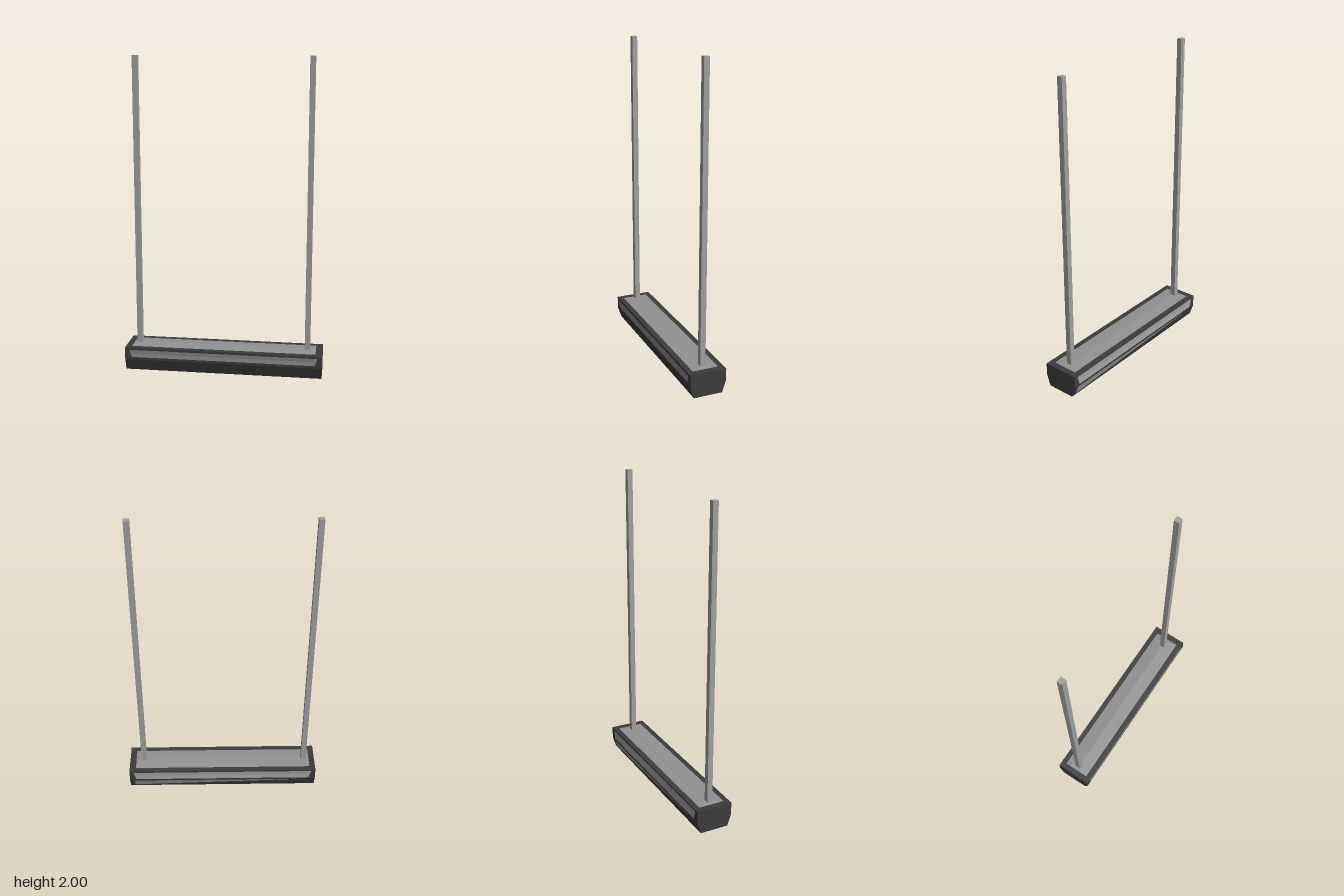
import * as THREE from 'three';

const HALF = 0.627; // half length of the lamp body

// Housing cross-section [z, y], running up the front, over the top and down the back
const profile = [
  [0.092, 0.01], [0.117, 0.085], [0.117, 0.164],
  [-0.117, 0.164], [-0.117, 0.085], [-0.092, 0.01],
];

// Panels per long side: corners as [u along x, v along profile], crown height and colour
const panels = {
  1: { name: 'frontPanel', color: 0x8a8a8a, crown: -0.002,
    uv: [[0.035, 0.2], [0.965, 0.2], [0.978, 0.8], [0.022, 0.8]] },
  2: { name: 'topPanel', color: 0x929292, crown: 0.006,
    uv: [[0.03, 0.145], [0.967, 0.145], [0.967, 0.855], [0.03, 0.855]] },
  3: { name: 'backPanel', color: 0xa4a4a4, crown: -0.002,
    uv: [[0.022, 0.15], [0.978, 0.15], [0.965, 0.9], [0.035, 0.9]] },
  4: { name: 'backWedgePanel', color: 0x9a9a9a, crown: -0.001,
    uv: [[0.1, 0.1], [0.975, 0.1], [0.975, 0.85], [0.1, 0.16]] },
  5: { name: 'bottomPanel', color: 0xf4f4f4, crown: 0.01,
    uv: [[0.03, 0.13], [0.97, 0.13], [0.97, 0.87], [0.03, 0.87]] },
};

const paint = (color) => new THREE.MeshStandardMaterial({ color, flatShading: true });

function meshFrom(points, name, color) {
  const geo = new THREE.BufferGeometry().setFromPoints(points);
  geo.computeVertexNormals();
  const mesh = new THREE.Mesh(geo, paint(color));
  mesh.name = name;
  return mesh;
}

const quad = (a, b, c, d) => [a, b, c, a, c, d];

export function createModel() {
  const model = new THREE.Group();
  model.name = 'hangingLamp';
  const shell = [];
  const n = profile.length;

  // Long sides: a dark frame around a shallow hipped panel
  for (let i = 0; i < n; i++) {
    const [z0, y0] = profile[i];
    const [z1, y1] = profile[(i + 1) % n];
    const at = ([u, v]) => new THREE.Vector3(
      (2 * u - 1) * HALF, y0 + (y1 - y0) * v, z0 + (z1 - z0) * v);
    const outer = [[0, 0], [1, 0], [1, 1], [0, 1]].map(at);
    const panel = panels[i];
    if (!panel) {
      shell.push(...quad(...outer));
      continue;
    }
    const inner = panel.uv.map(at);
    for (let k = 0; k < 4; k++) {
      const m = (k + 1) % 4;
      shell.push(...quad(outer[k], outer[m], inner[m], inner[k]));
    }
    const [a, b, c, d] = inner;
    const normal = new THREE.Vector3(0, z0 - z1, y1 - y0).normalize();
    const ridge = (p, q, dx) => p.clone().add(q).multiplyScalar(0.5)
      .addScaledVector(normal, panel.crown).add(new THREE.Vector3(dx, 0, 0));
    const start = ridge(a, d, 0.027);
    const end = ridge(b, c, -0.027);
    model.add(meshFrom([
      ...quad(a, b, end, start), ...quad(start, end, c, d),
      b, c, end, a, start, d,
    ], panel.name, panel.color));
  }

  // End caps
  for (const side of [-1, 1]) {
    const ring = profile.map(([z, y]) => new THREE.Vector3(side * HALF, y, z));
    if (side > 0) ring.reverse();
    for (let k = 1; k < n - 1; k++) shell.push(ring[0], ring[k], ring[k + 1]);
  }
  model.add(meshFrom(shell, 'housing', 0x3c3c3c));

  // Suspension rods
  for (const [x, name] of [[-0.552, 'rightRod'], [0.532, 'leftRod']]) {
    const rod = new THREE.Mesh(new THREE.BoxGeometry(0.034, 1.84, 0.034), paint(0xa0a0a0));
    rod.position.set(x, 1.08, 0);
    rod.name = name;
    model.add(rod);
  }
  return model;
}
